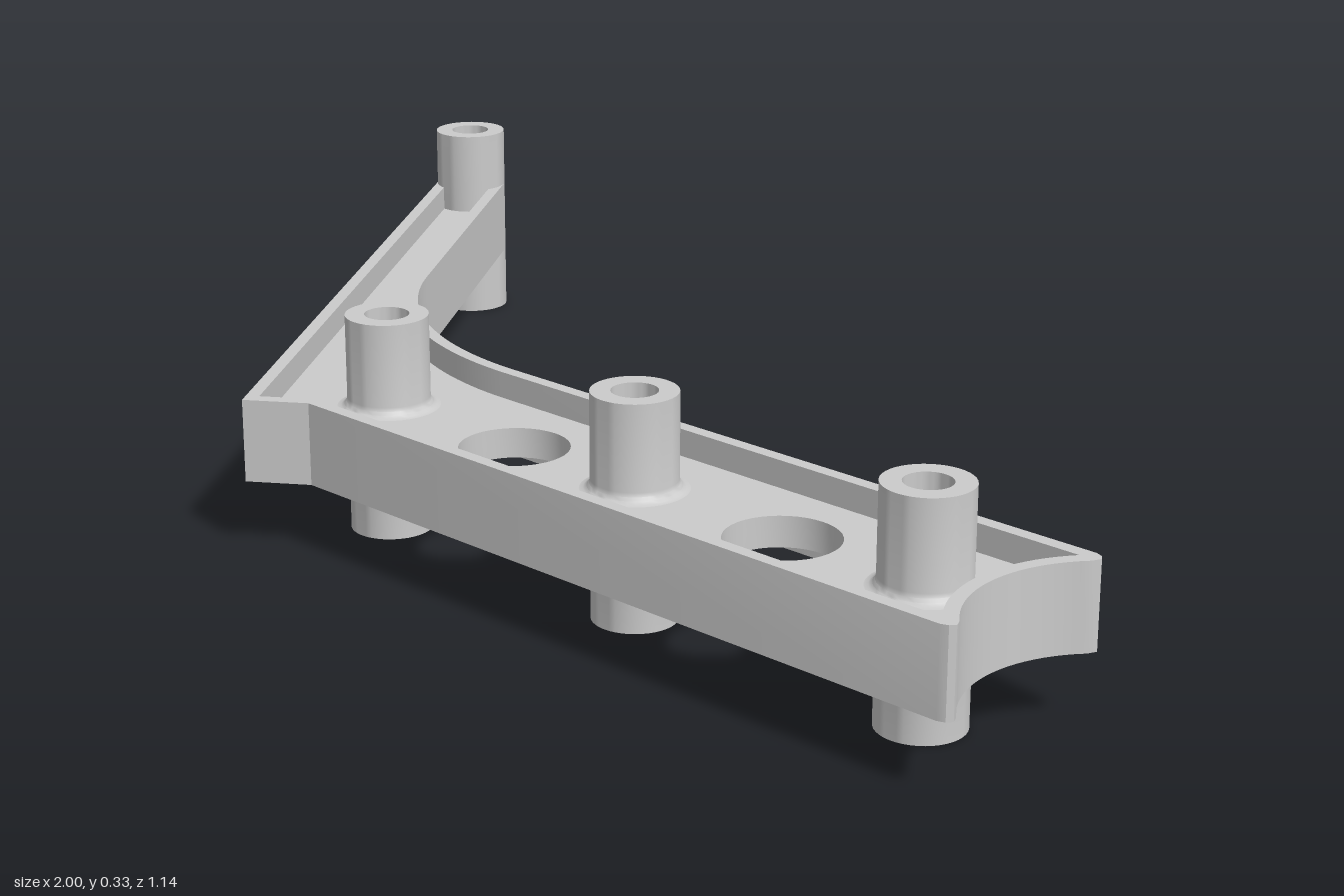
import * as THREE from 'three';
import { toCreasedNormals } from 'three/addons/utils/BufferGeometryUtils.js';

const material = new THREE.MeshStandardMaterial({ color: 0xcccccc });
const V = (x, z) => new THREE.Vector2(x, z);

const TOP = 0.33;                       // height of the bosses
const RIM = [0.105, 0.23];              // bottom and top of the rim
const WEB = [0.145, 0.19];              // bottom and top of the thin web
const BOSS_R = 0.0615, BORE_R = 0.033, WALL = 0.02;
const ROW_Z = 0.357;                    // line of bosses and holes
const armEnd = V(-0.9385, -0.513);
const u = V(0.576, 0.8174), n = V(0.8174, -0.576); // along and across the arm

const armPoint = (along, across) =>
  armEnd.clone().addScaledVector(u, along).addScaledVector(n, across);

function arc(cx, cz, r, from, to, steps) {
  const pts = [];
  for (let i = 0; i <= steps; i++) {
    const a = from + ((to - from) * i) / steps;
    pts.push(V(cx + r * Math.cos(a), cz + r * Math.sin(a)));
  }
  return pts;
}

// Plan outline in x, z, moved inwards by d
function outline(d) {
  const half = BOSS_R - d, zBack = 0.2 + d, zFront = 0.512 - d;
  const rEnd = 0.045 + 0.65 * d;
  const spread = Math.asin(Math.min(1, half / rEnd));
  const pts = [armPoint(rEnd * Math.cos(spread), half)];
  // Sweep from the arm into the straight bar
  pts.push(...arc(-0.071, -0.364, 0.564 + d, Math.atan2(-n.y, -n.x), Math.PI / 2, 28));
  // Scooped end with small rounded noses
  const nose = d === 0 ? [[0.982, 0], [0.993, 0.004], [0.999, 0.012]] : [];
  const r = 0.2 + d;
  const a = Math.asin(((zFront - zBack) / 2 - (d === 0 ? 0.024 : 0)) / r);
  pts.push(...nose.map(([x, o]) => V(x, zBack + o)));
  pts.push(...arc(1.144, ROW_Z, r, Math.PI + a, Math.PI - a, 20));
  pts.push(...nose.map(([x, o]) => V(x, zFront - o)).reverse());
  // Square foot of the arm
  const tip = armPoint(1.28 - d, -half);
  pts.push(tip.clone().addScaledVector(n, (tip.y - zFront) / -n.y), tip);
  // Hollow end that seats against the end boss
  pts.push(armPoint(rEnd * Math.cos(spread), -half));
  const base = Math.atan2(u.y, u.x);
  pts.push(...arc(armEnd.x, armEnd.y, rEnd, base + spread, base - spread, 14).slice(1, -1));
  return pts;
}

function plate(name, points, holes, [bottom, top]) {
  const shape = new THREE.Shape(points);
  shape.holes = holes.map((h) => new THREE.Path(h));
  const geo = new THREE.ExtrudeGeometry(shape, { depth: top - bottom, bevelEnabled: false });
  geo.rotateX(Math.PI / 2).translate(0, top, 0);
  const mesh = new THREE.Mesh(toCreasedNormals(geo, 0.5), material);
  mesh.name = name;
  return mesh;
}

// Hollow post, with a small fillet where it meets the web
function boss(name, x, z, fillet) {
  const outer = [V(BOSS_R, 0)];
  if (fillet) {
    const f = 0.015;
    outer.push(...arc(BOSS_R + f, WEB[0] - f, f, Math.PI, Math.PI / 2, 4));
    outer.push(...arc(BOSS_R + f, WEB[1] + f, f, -Math.PI / 2, -Math.PI, 4));
  }
  const profile = [...outer, V(BOSS_R, TOP), V(BORE_R, TOP), V(BORE_R, 0), V(BOSS_R, 0)];
  const geo = toCreasedNormals(new THREE.LatheGeometry(profile, 40), 0.6);
  const mesh = new THREE.Mesh(geo, material);
  mesh.name = name;
  mesh.position.set(x, 0, z);
  return mesh;
}

export function createModel() {
  const group = new THREE.Group();
  group.name = 'bracket';
  const bossX = [-0.174, 0.332, 0.837];
  const holeX = [0.094, 0.6];
  const circle = (x, r) => arc(x, ROW_Z, r, 0, Math.PI * 2, 40).slice(0, -1);

  group.add(plate('rim', outline(0), [outline(WALL)], RIM));
  group.add(plate('web', outline(WALL / 2),
    [...holeX.map((x) => circle(x, 0.08)), ...bossX.map((x) => circle(x, 0.05))], WEB));
  bossX.forEach((x, i) => group.add(boss(`barBoss${i + 1}`, x, ROW_Z, true)));
  group.add(boss('armEndBoss', armEnd.x, armEnd.y, false));
  return group;
}
